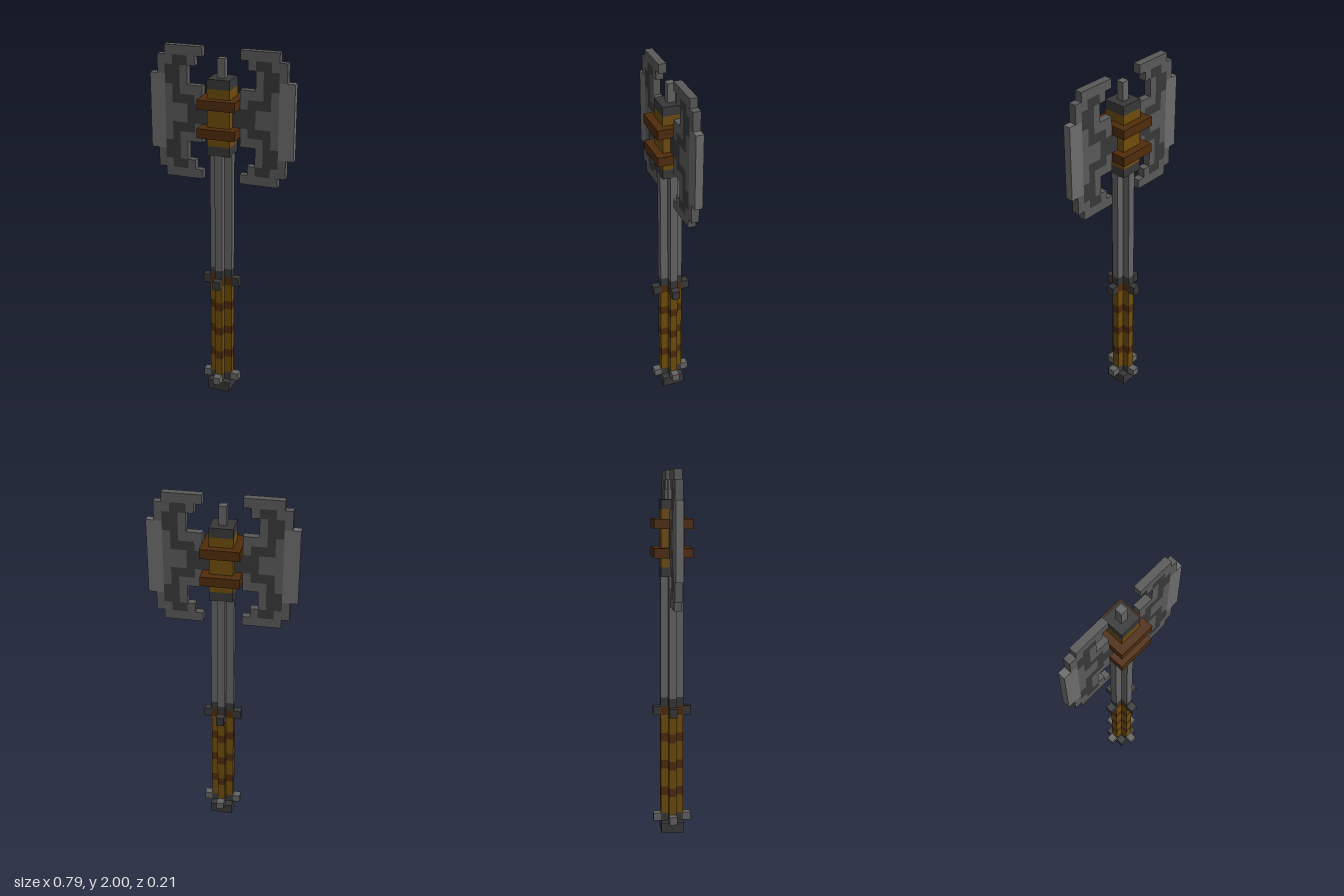
import * as THREE from 'three';

const U = 0.0417;  // block width
const V = 0.0511;  // block height, counted in rows down from the top
const row = (r) => 2 - r * V;

const material = (color) => new THREE.MeshStandardMaterial({ color, flatShading: true });
const steel = material(0x646464);
const edge = material(0x6c6c6c);
const grey = material(0x595959);
const iron = material(0x383838);
const wood = material(0x6e4c0c);
const leather = material(0x4f2c0c);

// Plus-shaped cross-section, three blocks across
function plusShape() {
  const a = U / 2, b = U * 1.5;
  return new THREE.Shape([
    [a, -b], [a, -a], [b, -a], [b, a], [a, a], [a, b],
    [-a, b], [-a, a], [-b, a], [-b, -a], [-a, -a], [-a, -b],
  ].map(([x, y]) => new THREE.Vector2(x, y)));
}

export function createModel() {
  const model = new THREE.Group();
  model.name = 'battleAxe';

  const add = (name, geometry, mat, parent = model) => {
    const mesh = new THREE.Mesh(geometry, mat);
    mesh.name = name;
    parent.add(mesh);
    return mesh;
  };
  const box = (name, x, y0, y1, z, w, d, mat, parent) =>
    add(name, new THREE.BoxGeometry(w, y1 - y0, d), mat, parent).position.set(x, (y0 + y1) / 2, z);
  const square = (name, y0, y1, blocks, mat) => box(name, 0, y0, y1, 0, blocks * U, blocks * U, mat);
  const plus = (name, y0, y1, mat) => {
    const g = new THREE.ExtrudeGeometry(plusShape(), { depth: y1 - y0, bevelEnabled: false });
    add(name, g.rotateX(-Math.PI / 2), mat).position.y = y0;
  };
  // Four blocks standing out from the sides of the shaft
  const studs = (name, y0, y1, mat) => {
    const group = new THREE.Group();
    group.name = name;
    for (const [x, z] of [[1, 0], [-1, 0], [0, 1], [0, -1]]) {
      box('stud', x * 2 * U, y0, y1, z * 2 * U, U, U, mat, group);
    }
    model.add(group);
  };

  // Pommel
  square('pommel', 0, 0.06, 3, iron);
  plus('pommelNeck', 0.06, 0.104, iron);
  studs('pommelStuds', 0.06, 0.104, steel);

  // Grip: wood with leather wraps
  const wraps = [0.209, 0.363, 0.519, 0.67];
  let y = 0.104;
  for (const w of wraps) {
    plus('grip', y, w, wood);
    y = w + 0.05;
    plus('gripWrap', w, y, leather);
  }
  studs('guardStuds', 0.67, 0.72, iron);
  plus('gripCollar', 0.72, 0.77, iron);

  // Steel shaft
  plus('shaft', 0.77, row(11), steel);

  // Head socket with two bands, end caps and a spike
  square('lowerCap', row(11), row(10), 3, iron);
  square('socket', row(10), row(4), 3, wood);
  square('upperCap', row(4), row(3), 3, iron);
  square('upperBand', row(6), row(5), 5, leather);
  square('lowerBand', row(9), row(8), 5, leather);
  square('spike', row(3), row(1), 1, steel);

  // Blade pattern, upper half, from the socket outwards
  // (g grey, d dark iron, e bright cutting edge)
  const pattern = [
    '.ggggg..',
    '..gddgg.',
    '...gddg.',
    '...gddee',
    '.gggdgee',
    '.gdddgee',
    'dddgggee'.replace(' ', ''),
  ];
  pattern[6] = 'dddgggee';
  const mats = { g: grey, d: iron, e: edge };
  for (const side of [-1, 1]) {
    const blade = new THREE.Group();
    blade.name = side > 0 ? 'leftBlade' : 'rightBlade';
    for (let r = 0; r < 14; r++) {
      const line = pattern[Math.min(r, 13 - r)];
      for (const run of line.matchAll(/g+|d+|e+/g)) {
        const n = run[0].length;
        const x = side * (1.5 + run.index + n / 2) * U;
        box('bladeStrip', x, row(r + 1), row(r), 0, n * U, U, mats[run[0][0]], blade);
      }
    }
    model.add(blade);
  }
  return model;
}
